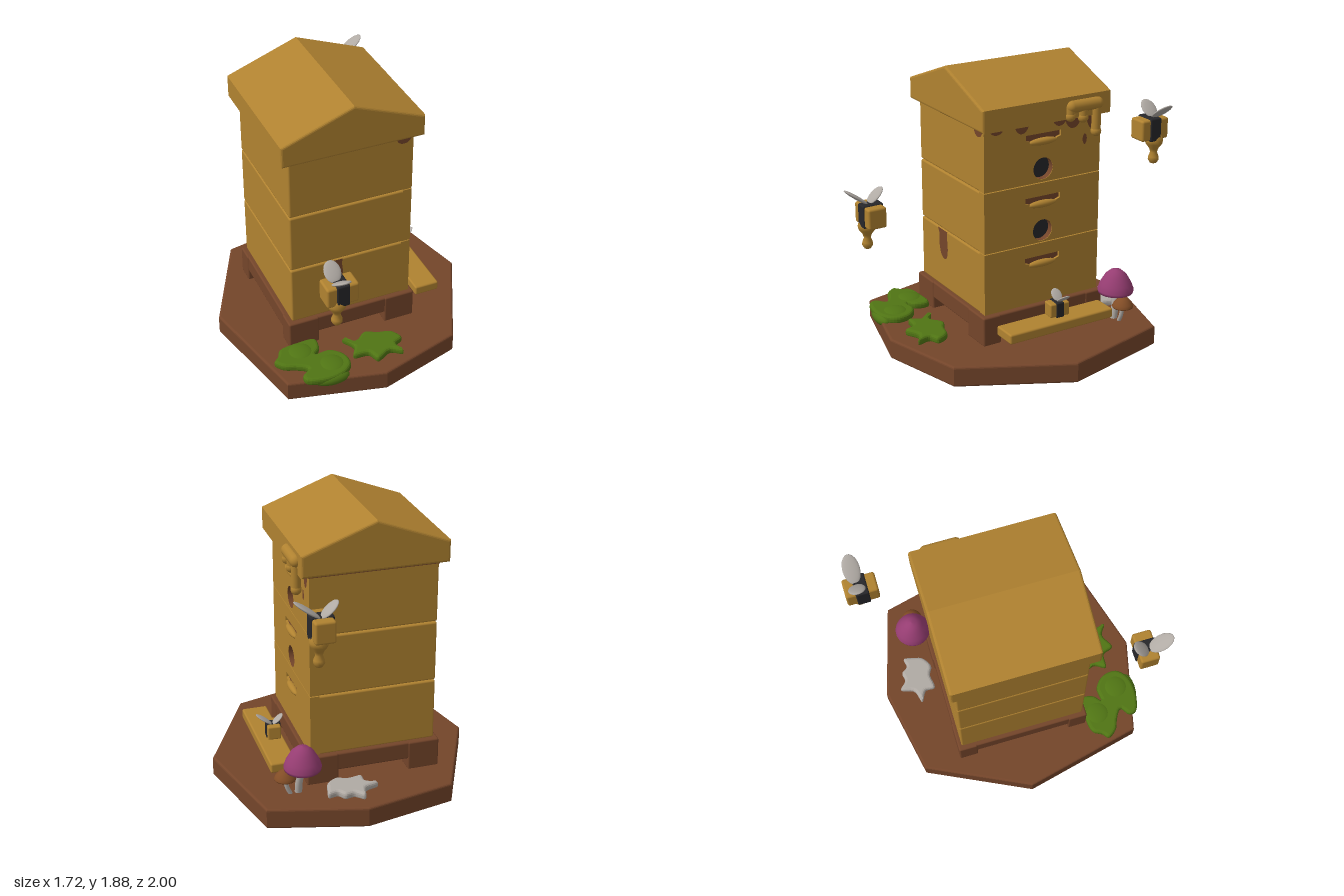
import * as THREE from 'three';
import { RoundedBoxGeometry } from 'three/addons/geometries/RoundedBoxGeometry.js';

const mat = (name, color, side = THREE.FrontSide) => {
  const m = new THREE.MeshStandardMaterial({ color, side });
  m.name = name;
  return m;
};
const honey = mat('honey yellow', 0xb08230);
const wood = mat('brown wood', 0x74452a, THREE.DoubleSide);
const black = mat('black', 0x26262a);
const grey = mat('pale grey', 0xb0aaa4);
const green = mat('moss green', 0x507514);
const purple = mat('mushroom purple', 0x963d72);
const tan = mat('small cap brown', 0x824d26);

function add(parent, name, geo, material, x = 0, y = 0, z = 0) {
  const m = new THREE.Mesh(geo, material);
  m.name = name;
  m.position.set(x, y, z);
  parent.add(m);
  return m;
}
const rbox = (w, h, d, r = 0.012) => new RoundedBoxGeometry(w, h, d, 2, r);
const v2 = (pts) => pts.map(([x, y]) => new THREE.Vector2(x, y));
const lathe = (pts, n = 24) => new THREE.LatheGeometry(v2(pts), n);

// Horizontal slab from an x,z outline, standing on y = 0
function slab(pts, height, bevel, smooth) {
  let outline = pts.map(([x, z]) => new THREE.Vector2(x, -z));
  if (smooth) {
    const c = new THREE.CatmullRomCurve3(outline.map((p) => new THREE.Vector3(p.x, p.y, 0)), true);
    outline = c.getPoints(70).slice(0, -1).map((p) => new THREE.Vector2(p.x, p.y));
  }
  const geo = new THREE.ExtrudeGeometry(new THREE.Shape(outline), {
    depth: height - 2 * bevel, bevelEnabled: true, bevelThickness: bevel,
    bevelSize: bevel, bevelOffset: -bevel, bevelSegments: 3,
  });
  return geo.translate(0, 0, bevel).rotateX(-Math.PI / 2);
}

// Box section whose +x wall has a handle slot and, if wanted, a round entrance
function hiveSection(parent, bottom, top, hasHole) {
  const g = new THREE.Group();
  g.name = 'hiveSection';
  parent.add(g);
  const h = top - bottom - 0.006, t = 0.05, W = 0.83, D = 0.86;
  add(g, 'sectionBox', rbox(W - t, h, D), honey, -t / 2, (top + bottom) / 2, 0);

  const s = new THREE.Shape(v2([[-D / 2, top - h], [D / 2, top - h], [D / 2, top], [-D / 2, top]]));
  const a = top - 0.087;
  s.holes.push(new THREE.Path(v2([[-0.13, a], [0.13, a], [0.13, a - 0.035], [0.07, a - 0.055], [-0.07, a - 0.055], [-0.13, a - 0.035]])));
  const holeY = top - 0.32;
  if (hasHole) {
    const p = new THREE.Path();
    p.absarc(0, holeY, 0.072, 0, Math.PI * 2, true);
    s.holes.push(p);
  }
  const panel = new THREE.ExtrudeGeometry(s, { depth: t + 0.012, bevelEnabled: false, curveSegments: 24 });
  add(g, 'entrancePanel', panel.rotateY(Math.PI / 2), honey, W / 2 - t - 0.012);
  add(g, 'handleSlot', new THREE.BoxGeometry(0.006, 0.06, 0.26), wood, W / 2 - 0.02, a - 0.03);
  const lip = add(g, 'handleLip', new THREE.SphereGeometry(1, 20, 12), honey, W / 2 - 0.005, a - 0.055);
  lip.scale.set(0.025, 0.024, 0.105);
  if (hasHole) {
    const rim = add(g, 'entranceRim', new THREE.CylinderGeometry(0.071, 0.071, 0.046, 28, 1, true), wood, W / 2 - 0.025, holeY);
    rim.rotation.z = Math.PI / 2;
    const disc = add(g, 'entranceHole', new THREE.CircleGeometry(0.072, 28), black, W / 2 - 0.044, holeY);
    disc.rotation.y = Math.PI / 2;
  }
}

const dripGeo = lathe([[0, -0.185], [0.022, -0.178], [0.036, -0.155], [0.034, -0.135], [0.022, -0.105], [0.03, -0.08], [0.055, -0.045], [0.06, -0.02], [0.05, 0.02], [0, 0.03]], 18);

// Bee lying along x with a long wing to +z and a short one to -z
function bee(parent, x, y, z, turn, size, shift, drips) {
  const g = new THREE.Group();
  g.name = 'bee';
  g.position.set(x, y, z);
  g.rotation.y = turn;
  g.scale.setScalar(size);
  parent.add(g);
  add(g, 'beeBody', rbox(0.21, 0.14, 0.13, 0.015), honey);
  add(g, 'beeBand', rbox(0.085, 0.155, 0.145, 0.01), black);
  for (const [dz, dy, len, tilt] of [[0.09, 0.125, 0.098, -0.63], [-0.045, 0.115, 0.072, 0.75]]) {
    const w = add(g, 'beeWing', new THREE.SphereGeometry(1, 18, 12), grey, shift, dy, dz);
    w.scale.set(0.055, 0.013, len);
    w.rotation.x = tilt;
  }
  if (drips) add(g, 'honeyDrip', dripGeo, honey, shift, -0.06, 0.02);
}

function mushroom(parent, x, z, y, r, h, material, footX, footZ) {
  const g = new THREE.Group();
  g.name = 'mushroom';
  parent.add(g);
  add(g, 'mushroomCap', lathe([[0, 0.015], [r * 0.8, 0.002], [r * 0.97, 0], [r, h * 0.12], [r * 0.88, h * 0.38], [r * 0.6, h * 0.75], [r * 0.3, h * 0.95], [0, h]], 28), material, x, y, z);
  const path = new THREE.CatmullRomCurve3([
    new THREE.Vector3(footX, 0.14, footZ),
    new THREE.Vector3((x + footX) / 2 + 0.008, (0.14 + y) / 2, (z + footZ) / 2),
    new THREE.Vector3(x, y + 0.03, z)]);
  add(g, 'mushroomStem', new THREE.TubeGeometry(path, 10, r * 0.2, 12), grey);
}

export function createModel() {
  const root = new THREE.Group();
  root.name = 'beehive';

  // Ground plate
  add(root, 'groundPlate', slab([[-0.858, -0.03], [-0.585, -0.73], [0, -0.895], [0.625, -0.775], [0.858, -0.06], [0.56, 0.655], [0.02, 0.855], [-0.615, 0.75]], 0.137, 0.014), wood, 0, 0.01);

  // Hive, slightly turned on the plate
  const hive = new THREE.Group();
  hive.name = 'hive';
  hive.position.set(-0.09, 0, -0.058);
  hive.rotation.y = 0.075;
  root.add(hive);

  // Stand
  for (const s of [-1, 1]) {
    for (const t of [-1, 1]) add(hive, 'standLeg', rbox(0.21, 0.2, 0.13), wood, s * 0.34, 0.24, t * 0.39);
    add(hive, 'standSideBeam', rbox(0.07, 0.12, 0.9), wood, s * 0.405, 0.28, 0);
    add(hive, 'standCrossBeam', rbox(0.88, 0.12, 0.07), wood, 0, 0.28, s * 0.415);
  }
  add(hive, 'standFloor', new THREE.BoxGeometry(0.8, 0.04, 0.82), wood, 0, 0.315);
  add(hive, 'landingBoard', rbox(0.17, 0.066, 0.78), honey, 0.58, 0.267);

  // Boxes
  hiveSection(hive, 0.34, 0.758, false);
  hiveSection(hive, 0.758, 1.165, true);
  hiveSection(hive, 1.165, 1.58, true);

  // Gabled roof
  const roof = new THREE.ExtrudeGeometry(
    new THREE.Shape(v2([[-0.473, 1.572], [0.473, 1.572], [0.473, 1.715], [0, 1.892], [-0.473, 1.715]])),
    { depth: 0.91, bevelEnabled: true, bevelThickness: 0.015, bevelSize: 0.015, bevelOffset: -0.015, bevelSegments: 3 });
  add(hive, 'roof', roof.translate(0, 0, -0.455), honey);

  // Brown stains below the roof and on the front
  add(hive, 'roofStainBand', new THREE.BoxGeometry(0.836, 0.018, 0.866), wood, 0, 1.566);
  const stain = (name, x, y, z, rx, ry, turn) => {
    const m = add(hive, name, new THREE.CircleGeometry(1, 20), wood, x, y, z);
    m.scale.set(rx, ry, 1);
    m.rotation.y = turn;
  };
  for (const [z, rx, ry] of [[0.34, 0.05, 0.04], [0.16, 0.05, 0.06], [-0.12, 0.05, 0.05], [-0.22, 0.06, 0.08], [-0.36, 0.04, 0.1]])
    stain('sideStain', 0.418, 1.57, z, rx, ry, Math.PI / 2);
  stain('sideStain', 0.418, 1.405, -0.31, 0.016, 0.035, Math.PI / 2);
  stain('frontStain', 0.35, 1.565, 0.433, 0.05, 0.045, 0);
  const run = new THREE.Shape();
  run.moveTo(-0.075, 0.755);
  run.lineTo(0.055, 0.755);
  run.bezierCurveTo(0.04, 0.71, 0.065, 0.66, 0.055, 0.61);
  run.bezierCurveTo(0.05, 0.53, -0.03, 0.53, -0.05, 0.62);
  run.bezierCurveTo(-0.065, 0.68, -0.03, 0.7, -0.075, 0.755);
  add(hive, 'frontStain', new THREE.ShapeGeometry(run), wood, -0.115, 0, 0.433);

  // Honey running over the eave
  add(hive, 'eaveHoney', new THREE.CapsuleGeometry(0.04, 0.19, 6, 14).rotateX(Math.PI / 2), honey, 0.474, 1.65, -0.265);
  for (const [z, low, r] of [[-0.16, 1.585, 0.03], [-0.255, 1.565, 0.03], [-0.355, 1.46, 0.03]]) {
    add(hive, 'eaveDrip', new THREE.CapsuleGeometry(r, 1.65 - low, 6, 14), honey, 0.474, (1.65 + low) / 2, z);
    add(hive, 'eaveDrop', new THREE.SphereGeometry(r * 1.15, 14, 10), honey, 0.474, low + 0.005, z);
  }

  // Bees
  bee(root, -0.3, 0.9, 0.835, 0.08, 1, -0.025, true);
  bee(root, 0.3, 1.41, -0.888, Math.PI / 2 + 0.08, 1, 0.025, true);
  bee(root, 0.462, 0.35, -0.125, Math.PI / 2, 0.66, 0.02, false);

  // Mushrooms
  mushroom(root, 0.365, -0.625, 0.325, 0.121, 0.16, purple, 0.39, -0.6);
  mushroom(root, 0.475, -0.615, 0.258, 0.07, 0.065, tan, 0.44, -0.61);

  // Moss and pale lichen
  const moss = [[-0.58, 0.46], [-0.46, 0.43], [-0.33, 0.43], [-0.33, 0.52], [-0.37, 0.57], [-0.28, 0.56], [-0.2, 0.62], [-0.18, 0.72], [-0.24, 0.79], [-0.36, 0.82], [-0.5, 0.79], [-0.51, 0.74], [-0.46, 0.69], [-0.52, 0.65], [-0.6, 0.62], [-0.645, 0.56], [-0.61, 0.52]];
  add(root, 'mossLarge', slab(moss, 0.055, 0.02, true), green, 0, 0.135);
  const overhang = add(root, 'mossOverhang', new THREE.SphereGeometry(1, 18, 12), green, -0.33, 0.145, 0.78);
  overhang.scale.set(0.12, 0.045, 0.05);
  for (const [x, z, r] of [[-0.3, 0.69, 0.09], [-0.46, 0.52, 0.09]]) {
    const m = add(root, 'mossTuft', new THREE.SphereGeometry(r, 18, 12), green, x, 0.175, z);
    m.scale.y = 0.3;
  }
  add(root, 'mossSmall', slab([[-0.16, 0.49], [-0.08, 0.53], [0, 0.47], [0.08, 0.5], [0.17, 0.52], [0.215, 0.6], [0.16, 0.64], [0.18, 0.725], [0.1, 0.69], [0, 0.74], [-0.04, 0.67], [-0.14, 0.66], [-0.11, 0.58]], 0.055, 0.02, true), green, 0, 0.135);
  add(root, 'lichen', slab([[0, -0.79], [0.06, -0.75], [0.12, -0.76], [0.16, -0.72], [0.22, -0.73], [0.215, -0.66], [0.2, -0.6], [0.13, -0.55], [0.07, -0.57], [-0.03, -0.555], [-0.04, -0.62], [-0.115, -0.66], [-0.03, -0.7]], 0.055, 0.02, true), grey, 0, 0.135);

  return root;
}
